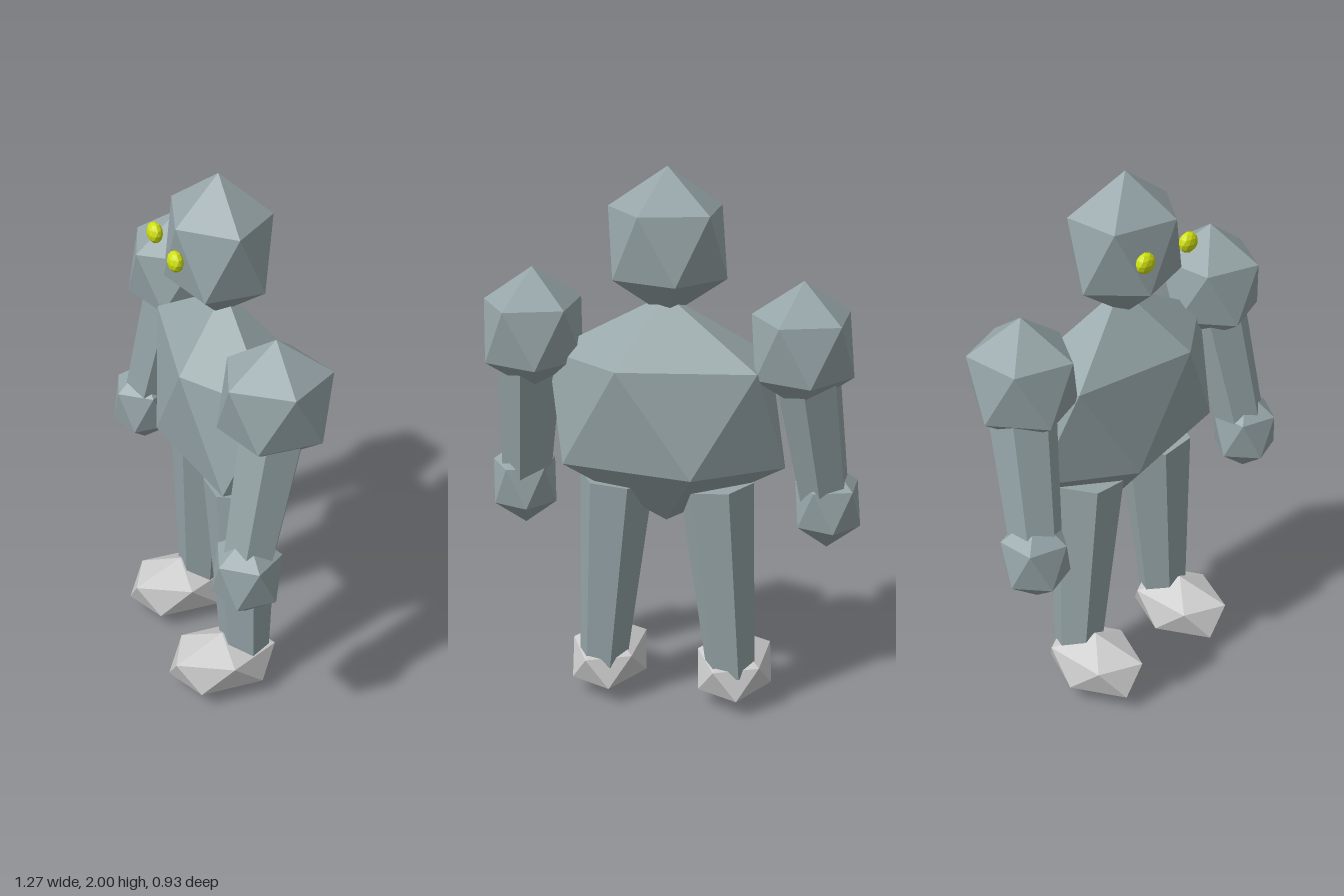
import * as THREE from 'three';

const material = (color) => new THREE.MeshStandardMaterial({ color, flatShading: true });

// Faceted ball with its poles up and down
function ball(name, mat, position, scale, detail = 0) {
  const geometry = new THREE.IcosahedronGeometry(1, detail);
  geometry.rotateZ(-Math.atan(2 / (1 + Math.sqrt(5))));
  const mesh = new THREE.Mesh(geometry, mat);
  mesh.name = name;
  mesh.position.set(...position);
  mesh.scale.set(...scale);
  return mesh;
}

// Tapered six-sided limb between two points
function limb(name, mat, top, bottom, rTop, rBottom, twist) {
  const a = new THREE.Vector3(...top);
  const b = new THREE.Vector3(...bottom);
  const geometry = new THREE.CylinderGeometry(rTop, rBottom, a.distanceTo(b), 6);
  geometry.rotateY(twist);
  const mesh = new THREE.Mesh(geometry, mat);
  mesh.name = name;
  mesh.position.copy(a).add(b).multiplyScalar(0.5);
  mesh.quaternion.setFromUnitVectors(new THREE.Vector3(0, 1, 0), a.sub(b).normalize());
  return mesh;
}

export function createModel() {
  const stone = material(0x96a5a8);
  const grey = material(0xcccccc);
  const yellow = material(0xcfe010);

  // The figure stands turned to its right
  const figure = new THREE.Group();
  figure.name = 'figure';
  figure.position.set(0.034, 0, -0.0475);
  figure.rotation.y = -Math.PI / 6;

  figure.add(
    ball('torso', stone, [0, 1.138, 0], [0.481, 0.42, 0.248]),
    ball('head', stone, [0, 1.735, 0.024], [0.236, 0.265, 0.203]),
  );

  // Paired parts
  for (const [side, s] of [['left', 1], ['right', -1]]) {
    figure.add(
      ball(side + 'Eye', yellow, [s * 0.108, 1.76, 0.212], [0.04, 0.037, 0.027], 1),
      ball(side + 'Shoulder', stone, [s * 0.483, 1.402, 0], [0.202, 0.229, 0.214]),
      limb(side + 'Arm', stone, [s * 0.49, 1.4, -0.01], [s * 0.556, 0.82, 0.113], 0.125, 0.093, 0),
      ball(side + 'Hand', stone, [s * 0.568, 0.782, 0.122], [0.134, 0.167, 0.134]),
      limb(side + 'Leg', stone, [s * 0.183, 0.875, 0], [s * 0.242, 0.14, 0], 0.137, 0.09, Math.PI / 6),
      ball(side + 'Foot', grey, [s * 0.24, 0.12, 0.09], [0.157, 0.12, 0.229]),
    );
  }

  const model = new THREE.Group();
  model.name = 'stoneFigure';
  model.add(figure);
  return model;
}
